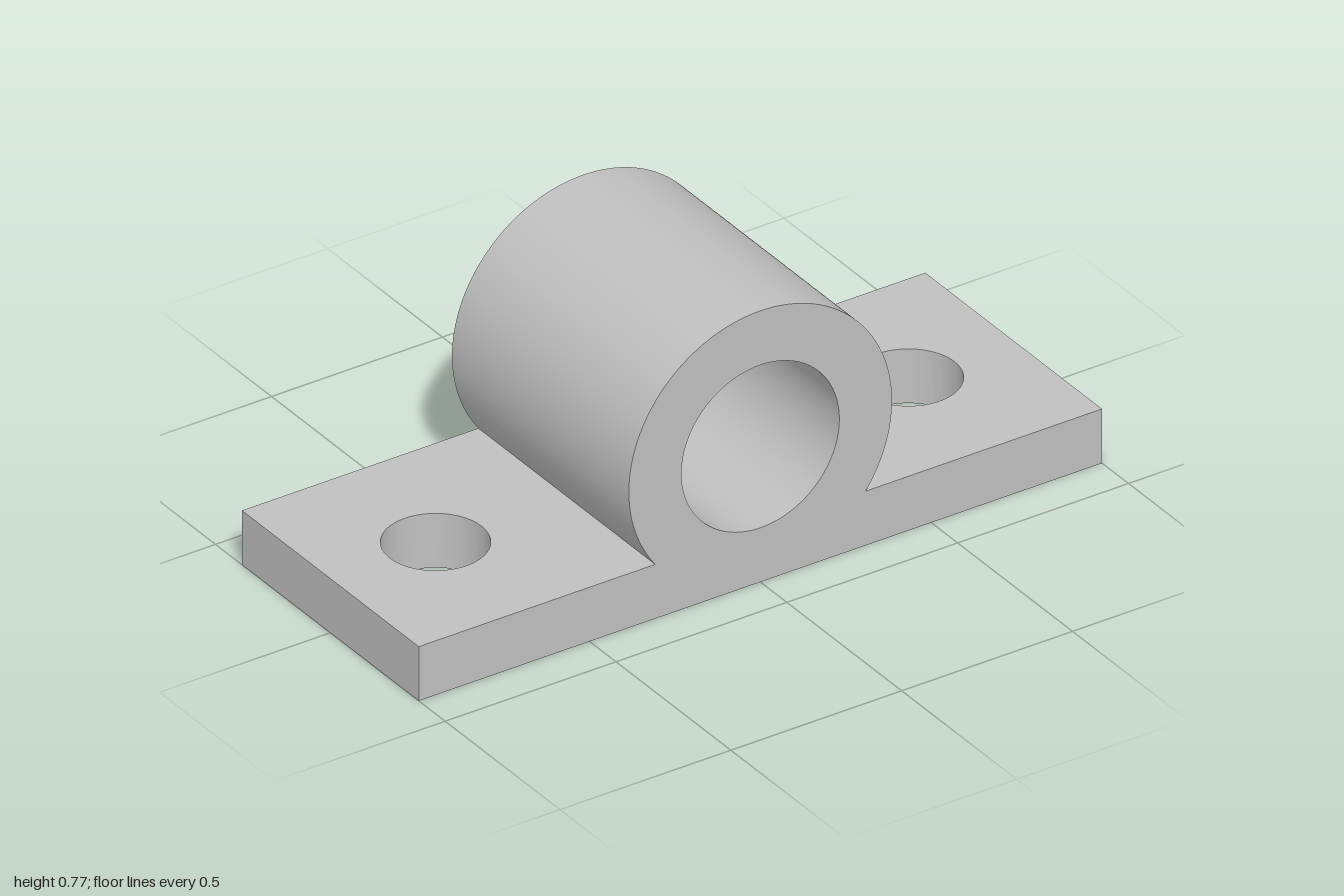
import * as THREE from 'three';
import { toCreasedNormals } from 'three/addons/utils/BufferGeometryUtils.js';

const DEPTH = 0.77;
const BASE = 0.154;      // plate thickness
const OUTER = 0.385;     // barrel radius, also its centre height
const BORE = OUTER - BASE;

// Extrude a shape symmetrically about z = 0, smooth on curves, sharp on edges
function extrude(shape, depth) {
  const geometry = new THREE.ExtrudeGeometry(shape, { depth, bevelEnabled: false, curveSegments: 96 });
  geometry.translate(0, 0, -depth / 2);
  return toCreasedNormals(geometry, 0.5);
}

export function createModel() {
  const group = new THREE.Group();
  group.name = 'bearingBracket';
  const metal = new THREE.MeshStandardMaterial({ color: 0xc0c0c0 });
  metal.name = 'greyMetal';

  // Mounting plate with two bolt holes
  const plate = new THREE.Shape();
  plate.moveTo(-1, -DEPTH / 2);
  plate.lineTo(1, -DEPTH / 2);
  plate.lineTo(1, DEPTH / 2);
  plate.lineTo(-1, DEPTH / 2);
  plate.closePath();
  for (const side of [-1, 1]) {
    const hole = new THREE.Path();
    hole.absarc(side * 0.692, 0, 0.134, 0, Math.PI * 2, true);
    plate.holes.push(hole);
  }
  const plateGeometry = extrude(plate, BASE);
  plateGeometry.rotateX(-Math.PI / 2);
  plateGeometry.translate(0, BASE / 2, 0);
  const plateMesh = new THREE.Mesh(plateGeometry, metal);
  plateMesh.name = 'mountingPlate';
  group.add(plateMesh);

  // Barrel: ring cut off at the plate's top, its bore just touching the plate
  const cut = Math.asin((BASE - OUTER) / OUTER);
  const gap = 0.003;
  const ring = new THREE.Shape();
  ring.absarc(0, OUTER, OUTER, cut, Math.PI - cut, false);
  ring.absarc(0, OUTER, BORE, Math.PI * 1.5 - gap, -Math.PI / 2 + gap, true);
  ring.closePath();
  const barrel = new THREE.Mesh(extrude(ring, DEPTH), metal);
  barrel.name = 'barrel';
  group.add(barrel);

  return group;
}
